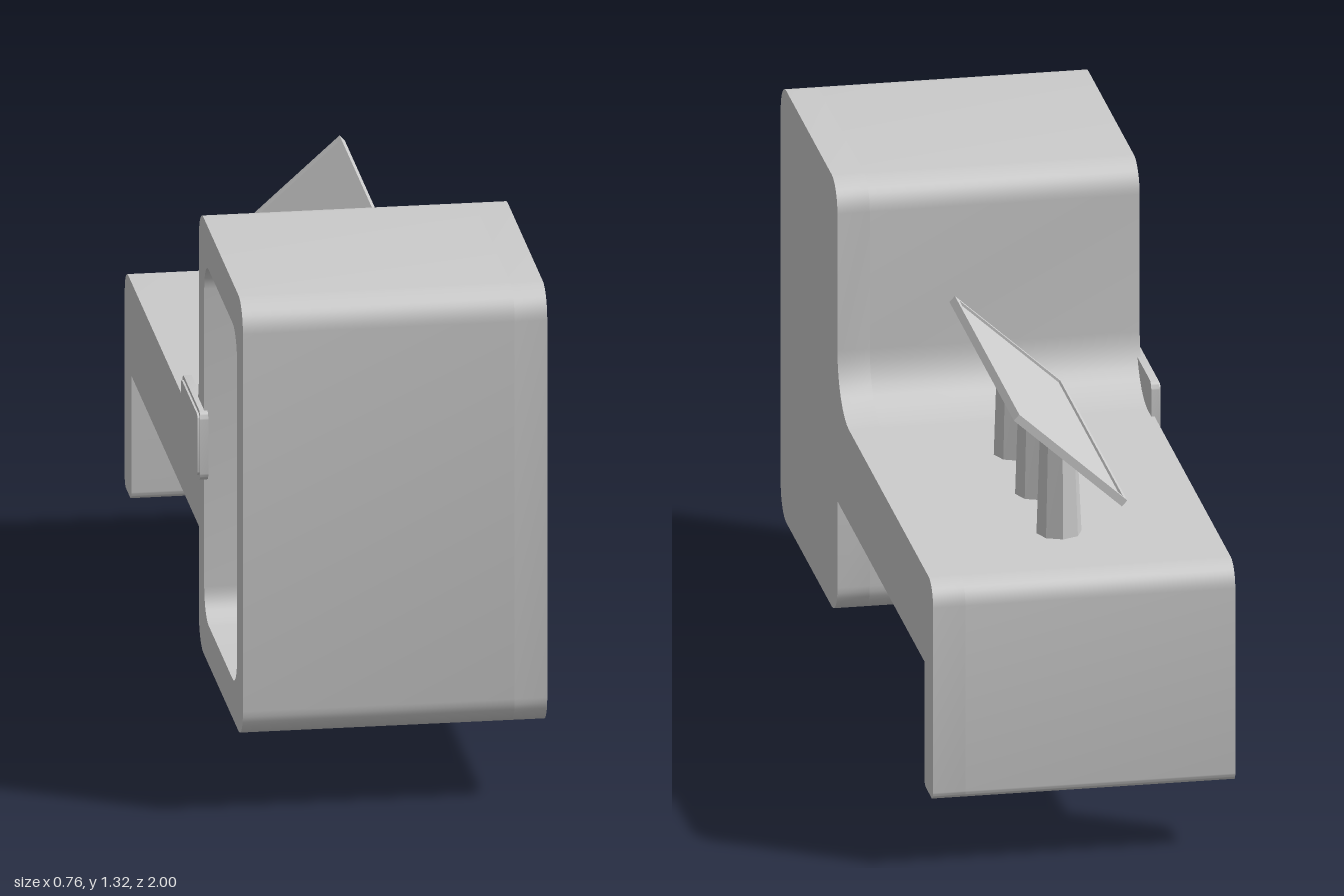
import * as THREE from 'three';
import { toCreasedNormals } from 'three/addons/utils/BufferGeometryUtils.js';

const grey = new THREE.MeshStandardMaterial({ color: 0xcccccc });
const faceted = new THREE.MeshStandardMaterial({ color: 0xcccccc, flatShading: true });

function add(parent, name, geometry, x = 0, y = 0, z = 0, material = grey) {
  const mesh = new THREE.Mesh(geometry, material);
  mesh.name = name;
  mesh.position.set(x, y, z);
  parent.add(mesh);
  return mesh;
}

// Outline through corners [u, v, radius], each corner rounded by its radius
function rounded(corners, path = new THREE.Shape()) {
  const n = corners.length;
  corners.forEach(([u, v, r], i) => {
    const p = new THREE.Vector2(u, v);
    const toward = (c) => new THREE.Vector2(c[0], c[1]).sub(p).normalize();
    const a = toward(corners[(i + n - 1) % n]);
    const b = toward(corners[(i + 1) % n]);
    const at = (d, k) => p.clone().addScaledVector(d, k);
    const s = at(a, r), e = at(b, r), c1 = at(a, r * 0.45), c2 = at(b, r * 0.45);
    if (i === 0) path.moveTo(s.x, s.y);
    else path.lineTo(s.x, s.y);
    if (r > 0) path.bezierCurveTo(c1.x, c1.y, c2.x, c2.y, e.x, e.y);
  });
  path.closePath();
  return path;
}

// Side outline (z, y) extruded from x = right down to x = left
function slab(shape, left, right) {
  const g = new THREE.ExtrudeGeometry(shape, { depth: right - left, bevelEnabled: false, curveSegments: 8 });
  g.rotateY(-Math.PI / 2).translate(right, 0, 0);
  return toCreasedNormals(g, 0.6);
}

const rect = (z0, z1, y0, y1, r) => [[z0, y0, r], [z1, y0, r], [z1, y1, r], [z0, y1, r]];

export function createModel() {
  const model = new THREE.Group();
  model.name = 'deskUnit';

  // Body: tall cabinet, table slab and end leg in one outline
  const outline = [
    [1, 0.2, 0.075], [1, 1.32, 0.075], [0.255, 1.32, 0.075], [0.255, 0.74, 0.15],
    [-1, 0.74, 0.06], [-1, 0.18, 0.02], [-0.885, 0.18, 0.02], [-0.885, 0.5, 0],
    [0.255, 0.5, 0], [0.255, 0.2, 0.075],
  ].reverse();
  const body = new THREE.Group();
  body.name = 'body';
  model.add(body);
  const open = rounded(outline);
  open.holes.push(rounded(rect(0.345, 0.9, 0.3, 1.215, 0.075), new THREE.Path()));
  add(body, 'closedSide', slab(rounded(outline), 0.3, 0.38));
  add(body, 'hollowShell', slab(open, -0.368, 0.3));

  // Low disc on the floor of the hollow
  add(model, 'floorDisc', new THREE.CylinderGeometry(0.21, 0.21, 0.012, 40), -0.1, 0.304, 0.6);

  // Small plate on the open side
  add(model, 'sidePlate', slab(rounded(rect(0.06, 0.36, 0.65, 0.828, 0.02)), -0.38, -0.36));
  add(model, 'sidePlateFace', slab(rounded(rect(0.07, 0.35, 0.66, 0.818, 0.015)), -0.385, -0.375));

  // Tilted panel with a raised rim
  const tilt = 0.733, length = 0.36, width = 0.845, rim = 0.012;
  const panel = new THREE.Group();
  panel.name = 'tiltedPanel';
  panel.position.set(0.01, 0.98, -0.42);
  panel.rotation.z = tilt;
  model.add(panel);
  add(panel, 'panelBoard', new THREE.BoxGeometry(length, 0.014, width), 0, -0.003, 0);
  for (const s of [-1, 1]) {
    add(panel, 'longRim', new THREE.BoxGeometry(rim, 0.02, width), s * (length - rim) / 2, 0, 0);
    add(panel, 'shortRim', new THREE.BoxGeometry(length, 0.02, rim), 0, 0, s * (width - rim) / 2);
  }

  // Faceted posts, their tops cut to the slope of the panel
  for (const z of [-0.13, -0.41, -0.69]) {
    const g = new THREE.CylinderGeometry(0.047, 0.056, 0.25, 8);
    const p = g.attributes.position;
    for (let i = 0; i < p.count; i++) {
      if (p.getY(i) > 0) p.setY(i, 0.11 + p.getX(i) * Math.tan(tilt));
    }
    add(model, 'panelPost', g, 0.01, 0.86, z, faceted);
  }

  // Central standing pipe and the U-shaped pipe crossing it
  add(model, 'standPipe', new THREE.CylinderGeometry(0.037, 0.037, 0.51, 24), 0.007, 0.255, -0.405);
  const point = (y, z) => new THREE.Vector3(0.007, y, z);
  const pipe = new THREE.CurvePath();
  const corners = [point(0.32, -0.125), point(0.32, -0.69)];
  const bend = [point(0.365, -0.125), point(0.32, -0.17), point(0.32, -0.645), point(0.365, -0.69)];
  pipe.add(new THREE.LineCurve3(point(0.51, -0.125), bend[0]));
  pipe.add(new THREE.QuadraticBezierCurve3(bend[0], corners[0], bend[1]));
  pipe.add(new THREE.LineCurve3(bend[1], bend[2]));
  pipe.add(new THREE.QuadraticBezierCurve3(bend[2], corners[1], bend[3]));
  pipe.add(new THREE.LineCurve3(bend[3], point(0.51, -0.69)));
  add(model, 'crossPipe', new THREE.TubeGeometry(pipe, 64, 0.032, 16));

  return model;
}
